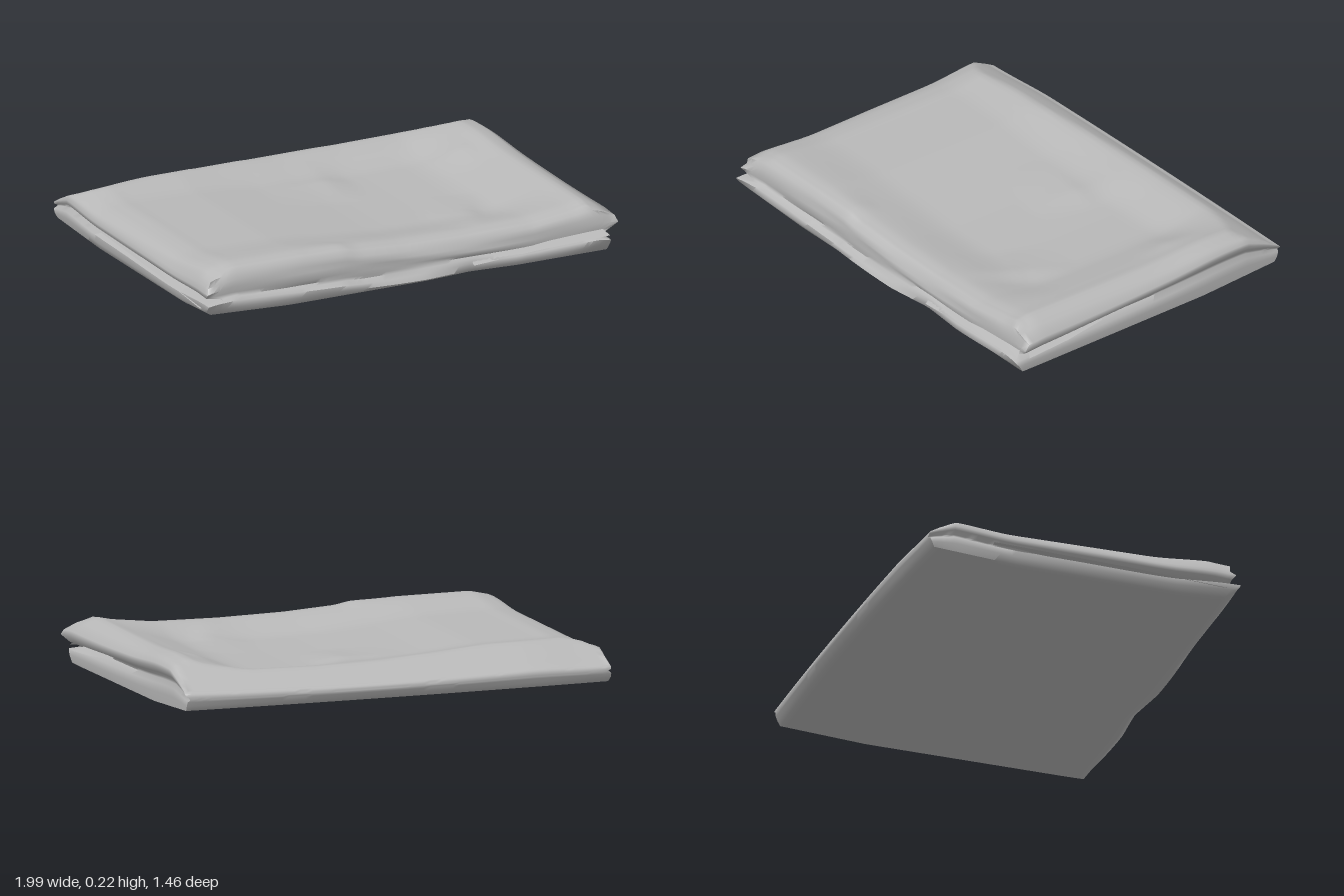
import * as THREE from 'three';
import { mergeVertices, toCreasedNormals } from 'three/addons/utils/BufferGeometryUtils.js';

const NX = 72, NZ = 54;
const lerp = THREE.MathUtils.lerp;
const smooth = THREE.MathUtils.smoothstep;

// piecewise linear lookup in [position, value] pairs
function table(pairs, t) {
  if (t <= pairs[0][0]) return pairs[0][1];
  for (let i = 1; i < pairs.length; i++) {
    const [a, va] = pairs[i - 1], [b, vb] = pairs[i];
    if (t <= b) return lerp(va, vb, (t - a) / (b - a));
  }
  return pairs[pairs.length - 1][1];
}

// edge profile from the underside up: height fraction, outward offset per side, extra pleat at the front corners
const LEVELS = [
  { f: 0.0, left: 0.0, right: 0.0, front: 0.0, back: 0.0, pleat: 0.0 },
  { f: 0.14, left: 0.03, right: 0.005, front: 0.03, back: 0.012, pleat: -0.01 },
  { f: 0.28, left: 0.03, right: 0.0, front: 0.025, back: 0.02, pleat: 0.015 },
  { f: 0.36, left: -0.05, right: -0.04, front: 0.0, back: 0.024, pleat: 0.015 },
  { f: 0.41, left: -0.05, right: -0.035, front: -0.005, back: 0.024, pleat: 0.01 },
  { f: 0.5, left: 0.02, right: 0.01, front: 0.0, back: 0.024, pleat: 0.0 },
  { f: 0.64, left: 0.025, right: 0.045, front: 0.0, back: 0.021, pleat: 0.02 },
  { f: 0.75, left: 0.01, right: 0.04, front: -0.004, back: 0.015, pleat: 0.0 },
  { f: 0.9, left: 0.0, right: -0.02, front: -0.012, back: 0.006, pleat: 0.01 },
  { f: 1.0, left: -0.025, right: -0.045, front: -0.035, back: -0.004, pleat: 0.0 },
];
const LAST = LEVELS.length - 1;

// plan position of a point on level k; u runs along x, v from back to front
function plan(u, v, k) {
  const s = (u + 1) / 2, t = (v + 1) / 2, L = LEVELS[k];
  const open = 0.25 + 0.75 * t;
  let x = lerp(lerp(-0.99, 0.945, s), lerp(-0.96, 0.95, s), t);
  let z = lerp(lerp(-0.675, -0.69, s), lerp(0.68, 0.69, s), t);
  z -= (1 - t) * 0.025 * (1 - u * u);
  x += (Math.max(u, 0) ** 8 * L.right - Math.max(-u, 0) ** 8 * L.left) * open;
  z += Math.max(v, 0) ** 8 * (L.front + L.pleat * u ** 8) - Math.max(-v, 0) ** 8 * L.back;
  if (k > 0 && k < LAST) z += Math.max(v, 0) ** 8 * 0.004 * Math.sin(u * 7 + k * 2.1) * (1 - u ** 4);
  // shallow notch in the lower front edge
  if (k < 3) z -= Math.max(v, 0) ** 8 * 0.02 * Math.max(0, 1 - Math.abs(x - 0.3) / 0.22);
  return [x, z];
}

// underside: rises to the back, one front corner turned up
function bottomY(x, z) {
  const corner = Math.max(0, 1 - (x + 0.97) / 0.4 - (0.69 - z) / 0.25);
  return table([[-0.72, 0.038], [-0.3, 0.012], [0.6, 0.002]], z) + 0.018 * Math.min(1, corner);
}

// a one-sided crease: steep across dx, fading along its length
function crease(x, z, cx, cz, angle, width, length, height) {
  const dx = x - cx, dz = z - cz, c = Math.cos(angle), s = Math.sin(angle);
  const a = (dx * c + dz * s) / width, b = (-dx * s + dz * c) / length;
  const across = a < 0 ? Math.max(0, 1 + a / 2.5) : Math.max(0, 1 - a);
  return height * across * Math.max(0, 1 - Math.abs(b));
}

// height of the upper sheet: raised rim, sunken middle, rounded back fold and creases
function topY(x, z) {
  let y = table([[-0.97, 0.17], [-0.92, 0.195], [-0.84, 0.213], [-0.5, 0.211], [-0.3, 0.196], [0, 0.178],
    [0.3, 0.172], [0.6, 0.176], [0.8, 0.199], [0.87, 0.214], [0.91, 0.2]], x);
  y += 0.015 * smooth(x, 0.6, 0.88) * Math.exp(-(((z + 0.38) / 0.2) ** 2));
  const sag = table([[-0.98, 0.015], [-0.8, 0.032], [-0.4, 0.038], [0.1, 0.05], [0.5, 0.05]], x);
  y -= sag * smooth(z, -0.6, -0.32) * (1 - smooth(z, 0.3, 0.62)) * (1 - smooth(x, 0.5, 0.87));
  y += crease(x, z, 0.1, -0.28, 0.1, 0.12, 0.24, 0.02);
  y += crease(x, z, 0.46, 0.34, 0.41, 0.08, 0.26, 0.018);
  y += crease(x, z, 0.74, -0.26, 0, 0.07, 0.16, 0.01);
  y += crease(x, z, -0.3, 0.62, 0.1, 0.07, 0.12, 0.012);
  y -= 0.01 * smooth(z, 0.58, 0.66);
  const fold = table([[-0.73, 0.09], [-0.7, 0.112], [-0.65, 0.148], [-0.6, 0.176], [-0.5, 0.223], [-0.42, 0.235]], z);
  return Math.min(y, fold - 0.02 * smooth(-x, 0.6, 1));
}

function clothPoint(u, v, k) {
  const [x, z] = plan(u, v, k), [tx, tz] = plan(u, v, LAST);
  let f = LEVELS[k].f;
  f += 0.9 * ((1 - v) / 2) * f * (1 - f);
  let y = lerp(bottomY(x, z), topY(tx, tz), f);
  if (k > 0 && k < LAST) y += 0.006 * Math.sin(u * 4 + v * 3 + k) * Math.max(0, v);
  return [x, y, z];
}

// the whole bundle: upper sheet, underside and the pleated rim between them
function clothGeometry() {
  const pos = [], index = [];
  const quad = (a, b, c, d) => index.push(a, b, c, a, c, d);
  for (const k of [LAST, 0]) {
    const base = pos.length / 3;
    for (let j = 0; j <= NZ; j++)
      for (let i = 0; i <= NX; i++) pos.push(...clothPoint(-1 + 2 * i / NX, -1 + 2 * j / NZ, k));
    for (let j = 0; j < NZ; j++)
      for (let i = 0; i < NX; i++) {
        const a = base + j * (NX + 1) + i, b = a + 1, c = a + NX + 1, d = c + 1;
        if (k === LAST) quad(a, c, d, b);
        else quad(a, b, d, c);
      }
  }
  // perimeter loop: front, left side, back, right side
  const rim = [];
  for (let i = 0; i < NX; i++) rim.push([-1 + 2 * i / NX, 1]);
  for (let j = 0; j < NZ; j++) rim.push([1, 1 - 2 * j / NZ]);
  for (let i = 0; i < NX; i++) rim.push([1 - 2 * i / NX, -1]);
  for (let j = 0; j < NZ; j++) rim.push([-1, -1 + 2 * j / NZ]);
  const start = pos.length / 3, n = rim.length;
  for (let k = 0; k <= LAST; k++) for (const [u, v] of rim) pos.push(...clothPoint(u, v, k));
  for (let k = 0; k < LAST; k++)
    for (let i = 0; i < n; i++) {
      const a = start + k * n + i, b = start + k * n + (i + 1) % n;
      quad(a, b, b + n, a + n);
    }
  const g = new THREE.BufferGeometry();
  g.setAttribute('position', new THREE.Float32BufferAttribute(pos, 3));
  g.setIndex(index);
  return toCreasedNormals(mergeVertices(g, 1e-4), 1.2);
}

// thin loose ply lofted between an inner and an outer line of points
function plyGeometry(inner, outer) {
  const pos = [], index = [];
  inner.forEach((p, i) => pos.push(...p, ...outer[i]));
  for (let i = 0; i < inner.length - 1; i++) {
    const a = 2 * i;
    index.push(a, a + 1, a + 3, a, a + 3, a + 2);
  }
  const g = new THREE.BufferGeometry();
  g.setAttribute('position', new THREE.Float32BufferAttribute(pos, 3));
  g.setIndex(index);
  g.computeVertexNormals();
  return g;
}

export function createModel() {
  const cloth = new THREE.MeshStandardMaterial({ color: 0xb8b8b8 });
  cloth.name = 'greyCloth';
  cloth.side = THREE.DoubleSide;
  const group = new THREE.Group();
  group.name = 'foldedBlanket';
  const add = (name, geometry) => {
    const mesh = new THREE.Mesh(geometry, cloth);
    mesh.name = name;
    group.add(mesh);
  };

  add('foldedCloth', clothGeometry());

  // loose plies showing between the layers at the front and sides
  add('frontPly', plyGeometry(
    [[0.3, 0.065, 0.68], [0.6, 0.09, 0.68], [0.92, 0.11, 0.67]],
    [[0.3, 0.04, 0.705], [0.6, 0.06, 0.71], [0.95, 0.075, 0.722]]));
  add('leftPly', plyGeometry(
    [[0.9, 0.09, 0.62], [0.9, 0.095, 0.45], [0.91, 0.1, 0.25]],
    [[0.96, 0.06, 0.66], [0.96, 0.075, 0.45], [0.945, 0.095, 0.25]]));
  add('rightPly', plyGeometry(
    [[-0.93, 0.1, -0.4], [-0.92, 0.085, 0.2], [-0.91, 0.07, 0.65]],
    [[-0.99, 0.1, -0.4], [-0.993, 0.075, 0.2], [-0.997, 0.045, 0.655]]));
  return group;
}
